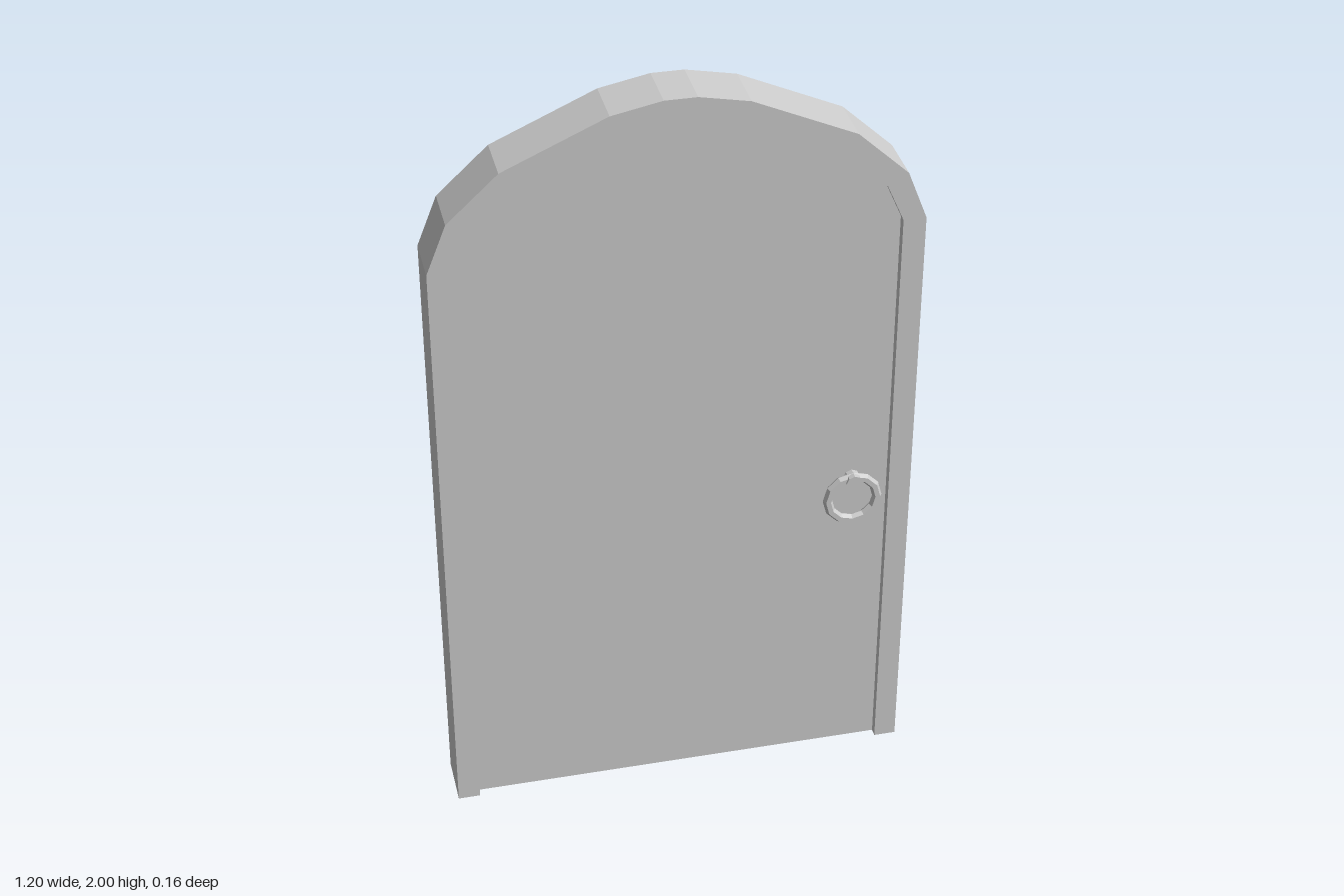
import * as THREE from 'three';

// Right half of each arch outline, from the bottom up to the crown
const OUTER = [[0.6, 0], [0.6, 1.615], [0.55, 1.742], [0.423, 1.86], [0.165, 1.975], [0.04, 2]];
const INNER = [[0.543, 0], [0.543, 1.615], [0.5, 1.712], [0.392, 1.808], [0.157, 1.916], [0.035, 1.943]];

// Mirror a half outline into a full arch running from right foot to left foot
const arch = (half) => [...half, ...half.map(([x, y]) => [-x, y]).reverse()]
  .map(([x, y]) => new THREE.Vector2(x, y));

// Extrude an outline, centred on z = 0
function slab(points, depth, material, name) {
  const geometry = new THREE.ExtrudeGeometry(new THREE.Shape(points), { depth, bevelEnabled: false });
  geometry.translate(0, 0, -depth / 2);
  const mesh = new THREE.Mesh(geometry, material);
  mesh.name = name;
  return mesh;
}

// Ring pull hanging from a short boss, built facing +z
function ringPull(material, name) {
  const group = new THREE.Group();
  group.name = name;

  const ring = new THREE.Mesh(new THREE.TorusGeometry(0.065, 0.0125, 6, 12), material);
  ring.name = 'ring';
  ring.position.set(0.45, 0.81, 0.063);

  const boss = new THREE.Mesh(new THREE.CylinderGeometry(0.021, 0.021, 0.036, 8), material);
  boss.name = 'ringBoss';
  boss.rotation.x = Math.PI / 2;
  boss.position.set(0.45, 0.866, 0.062);

  group.add(ring, boss);
  return group;
}

export function createModel() {
  const grey = new THREE.MeshStandardMaterial({ color: 0xcccccc, flatShading: true });
  grey.name = 'plain grey';

  const model = new THREE.Group();
  model.name = 'archedDoor';

  // Frame: outer arch, then back along the inner arch, open at the foot
  model.add(slab([...arch(OUTER), ...arch(INNER).reverse()], 0.14, grey, 'doorFrame'));

  // Recessed door leaf filling the frame
  model.add(slab(arch(INNER), 0.096, grey, 'doorPanel'));

  // A ring pull on each face, at the same edge of the door
  const front = ringPull(grey, 'frontRingPull');
  const back = ringPull(grey, 'backRingPull');
  back.rotation.y = Math.PI;
  back.children.forEach((part) => { part.position.x *= -1; });
  model.add(front, back);

  return model;
}
